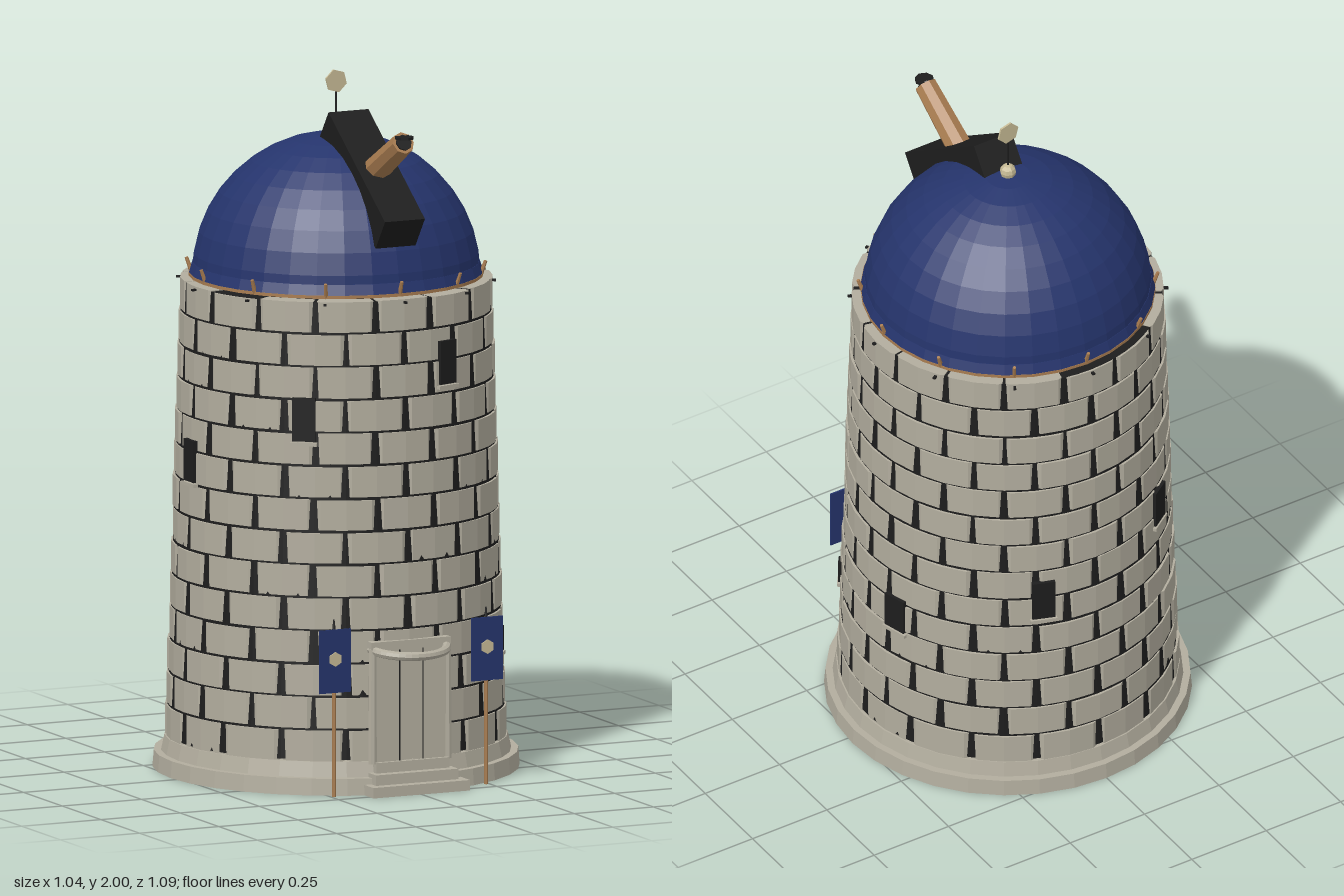
import * as THREE from 'three';
import { mergeGeometries } from 'three/addons/utils/BufferGeometryUtils.js';

const material = (name, color) => {
  const m = new THREE.MeshStandardMaterial({ color, flatShading: true });
  m.name = name;
  return m;
};

export function createModel() {
  const stone = material('stone', 0xb2ad9e);
  const blue = material('blue', 0x25346c);
  const dark = material('dark', 0x1d1d1d);
  const wood = material('wood', 0xa87c50);
  const cream = material('cream', 0xc4b893);

  const root = new THREE.Group();
  root.name = 'observatory';
  const tower = new THREE.Group();
  tower.name = 'tower';
  tower.position.z = -0.028;
  root.add(tower);

  const add = (parent, name, geometry, mat, x = 0, y = 0, z = 0) => {
    const mesh = new THREE.Mesh(geometry, mat);
    mesh.name = name;
    mesh.position.set(x, y, z);
    parent.add(mesh);
    return mesh;
  };
  const box = (w, h, d) => new THREE.BoxGeometry(w, h, d);
  const cyl = (r1, r2, h, n = 8) => new THREE.CylinderGeometry(r1, r2, h, n);
  // Places a group on the tower wall, facing outwards at an angle from the front
  const onWall = (name, deg, radius, y) => {
    const g = new THREE.Group();
    const a = THREE.MathUtils.degToRad(deg);
    g.name = name;
    g.position.set(Math.sin(a) * radius, y, Math.cos(a) * radius);
    g.rotation.y = a;
    tower.add(g);
    return g;
  };
  let seed = 7;
  const rand = () => (seed = (seed * 16807) % 2147483647) / 2147483647;

  // Plinth
  add(tower, 'plinthLower', cyl(0.518, 0.522, 0.048, 32), stone, 0, 0.024);
  add(tower, 'plinthUpper', cyl(0.488, 0.498, 0.046, 32), stone, 0, 0.069);

  // Wall: dark mortar core with courses of curved blocks
  const ROWS = 14, BLOCKS = 16, Y0 = 0.09, Y1 = 1.412;
  const rowH = (Y1 - Y0) / ROWS;
  const wallRadius = (y) => 0.485 - 0.043 * (y - Y0) / (Y1 - Y0);
  add(tower, 'mortar', cyl(wallRadius(Y1) - 0.004, wallRadius(Y0) - 0.004, Y1 - Y0 - 0.012, 64),
    dark, 0, (Y0 + Y1) / 2);

  const blockGeometry = (R, half, height) => {
    const at = (r, a) => new THREE.Vector2(r * Math.sin(a), -r * Math.cos(a));
    const shape = new THREE.Shape([
      at(R - 0.05, -half), at(R - 0.007, -half), at(R, -half * 0.86), at(R + 0.001, 0),
      at(R, half * 0.86), at(R - 0.007, half), at(R - 0.05, half),
    ]);
    return new THREE.ExtrudeGeometry(shape, { depth: height, bevelEnabled: false }).rotateX(-Math.PI / 2);
  };
  for (let i = 0; i < ROWS; i++) {
    const y = Y0 + i * rowH;
    const parts = [];
    for (let k = 0; k < BLOCKS; k++) {
      const half = Math.PI / BLOCKS - 0.009 - rand() * 0.006;
      const g = blockGeometry(wallRadius(y + rowH / 2) + (rand() - 0.5) * 0.004, half, rowH - 0.005 - rand() * 0.004);
      g.rotateY((k + (i % 2 ? 0 : 0.5)) * 2 * Math.PI / BLOCKS + (rand() - 0.5) * 0.008);
      g.translate(0, y + 0.002, 0);
      parts.push(g);
    }
    add(tower, 'stoneCourse', mergeGeometries(parts), stone);
  }

  // Windows with small sills: angle, height, width
  for (const [deg, y, w, h] of [
    [18.6, 1.215, 0.063, 0.125], [-37.6, 1.07, 0.066, 0.125], [105, 0.52, 0.072, 0.11],
    [160, 0.65, 0.066, 0.125], [215, 0.78, 0.07, 0.115], [270, 0.91, 0.066, 0.12], [53, 0.38, 0.03, 0.07],
  ]) {
    const win = onWall('window', deg, wallRadius(y), y);
    add(win, 'windowOpening', box(w, h, 0.03), dark, 0, 0, -0.008);
    add(win, 'windowSill', box(w + 0.012, 0.01, 0.03), stone, 0, -h / 2 - 0.008, -0.005);
  }

  // Dome with wooden rim, pegs and brackets
  add(tower, 'dome', new THREE.SphereGeometry(0.41, 32, 10, 0, Math.PI * 2, 0, Math.PI / 2), blue, 0, 1.412);
  add(tower, 'domeSkirt', cyl(0.408, 0.418, 0.03, 32), blue, 0, 1.436);
  add(tower, 'domeRim', cyl(0.419, 0.419, 0.009, 32), wood, 0, 1.417);
  for (let k = 0; k < 12; k++) {
    const peg = onWall('rimPeg', k * 30, 0.418, 1.435);
    const rod = add(peg, 'peg', cyl(0.005, 0.007, 0.045, 6), wood);
    rod.rotation.x = 0.35;
    add(peg, 'bracket', box(0.008, 0.006, 0.05), dark, 0, -0.035, 0.012);
  }

  // Finial
  add(tower, 'finialKnob', new THREE.SphereGeometry(0.024, 8, 6), cream, 0, 1.832);
  add(tower, 'finialRod', cyl(0.003, 0.003, 0.12, 6), dark, 0, 1.9);
  add(tower, 'finialDisc', cyl(0.034, 0.034, 0.006, 6), cream, 0, 1.968).rotation.set(Math.PI / 2, 0.25, 0);

  // Telescope housing, laid against the dome
  const tilt = Math.atan2(0.259, 0.365);
  const depth = 0.105;
  const housing = add(root, 'telescopeHousing', box(0.126, depth, 0.448), dark,
    0, 1.765 - 0.815 * depth / 2, 0.235 - 0.579 * depth / 2);
  housing.rotation.x = tilt;

  // Telescope tube and open lens cap
  const axis = new THREE.Vector3(0, 0.1, 0.169).normalize();
  const tube = add(root, 'telescopeTube', cyl(0.033, 0.039, 0.24), wood, 0, 1.796, 0.304);
  tube.quaternion.setFromUnitVectors(new THREE.Vector3(0, 1, 0), axis);
  const lens = add(root, 'telescopeLens', cyl(0.024, 0.024, 0.006), dark, 0, 1.858, 0.409);
  lens.quaternion.copy(tube.quaternion);
  add(root, 'lensCap', cyl(0.028, 0.028, 0.007), dark, 0, 1.873, 0.414);

  // Entrance steps and door
  add(root, 'stepLower', box(0.305, 0.03, 0.14), stone, 0, 0.015, 0.457);
  add(root, 'stepMiddle', box(0.26, 0.03, 0.12), stone, 0, 0.045, 0.438);
  add(root, 'stepUpper', box(0.23, 0.03, 0.1), stone, 0, 0.075, 0.42);
  add(root, 'door', box(0.22, 0.33, 0.05), stone, 0, 0.25, 0.433);
  for (const x of [-0.037, 0.037]) add(root, 'doorGroove', box(0.004, 0.32, 0.004), dark, x, 0.25, 0.457);
  add(root, 'doorLintel', box(0.25, 0.022, 0.06), stone, 0, 0.424, 0.428);
  for (const s of [-1, 1]) {
    add(root, 'doorPost', cyl(0.011, 0.013, 0.33), stone, s * 0.118, 0.25, 0.45);
  }

  // Hoop canopy over the entrance
  const hoopPoints = [];
  for (let i = 0; i <= 12; i++) {
    const a = Math.PI * i / 12;
    hoopPoints.push(new THREE.Vector3(-0.115 * Math.cos(a), 0.412 - 0.013 * Math.sin(a), 0.432 + 0.1 * Math.sin(a)));
  }
  add(root, 'entranceHoop', new THREE.TubeGeometry(new THREE.CatmullRomCurve3(hoopPoints), 20, 0.013, 8), stone);

  // Banners on poles
  for (const s of [-1, 1]) {
    const banner = new THREE.Group();
    banner.name = 'banner';
    banner.position.set(s * 0.24, 0, 0.45);
    root.add(banner);
    add(banner, 'bannerPole', cyl(0.005, 0.006, 0.48, 6), wood, 0, 0.24);
    add(banner, 'poleTip', cyl(0.002, 0.005, 0.03, 6), dark, 0, 0.495);
    add(banner, 'bannerCloth', box(0.098, 0.182, 0.005), blue, 0, 0.391, 0.006);
    add(banner, 'bannerEmblem', cyl(0.021, 0.021, 0.004, 6), cream, 0, 0.397, 0.01).rotation.x = Math.PI / 2;
  }
  return root;
}
